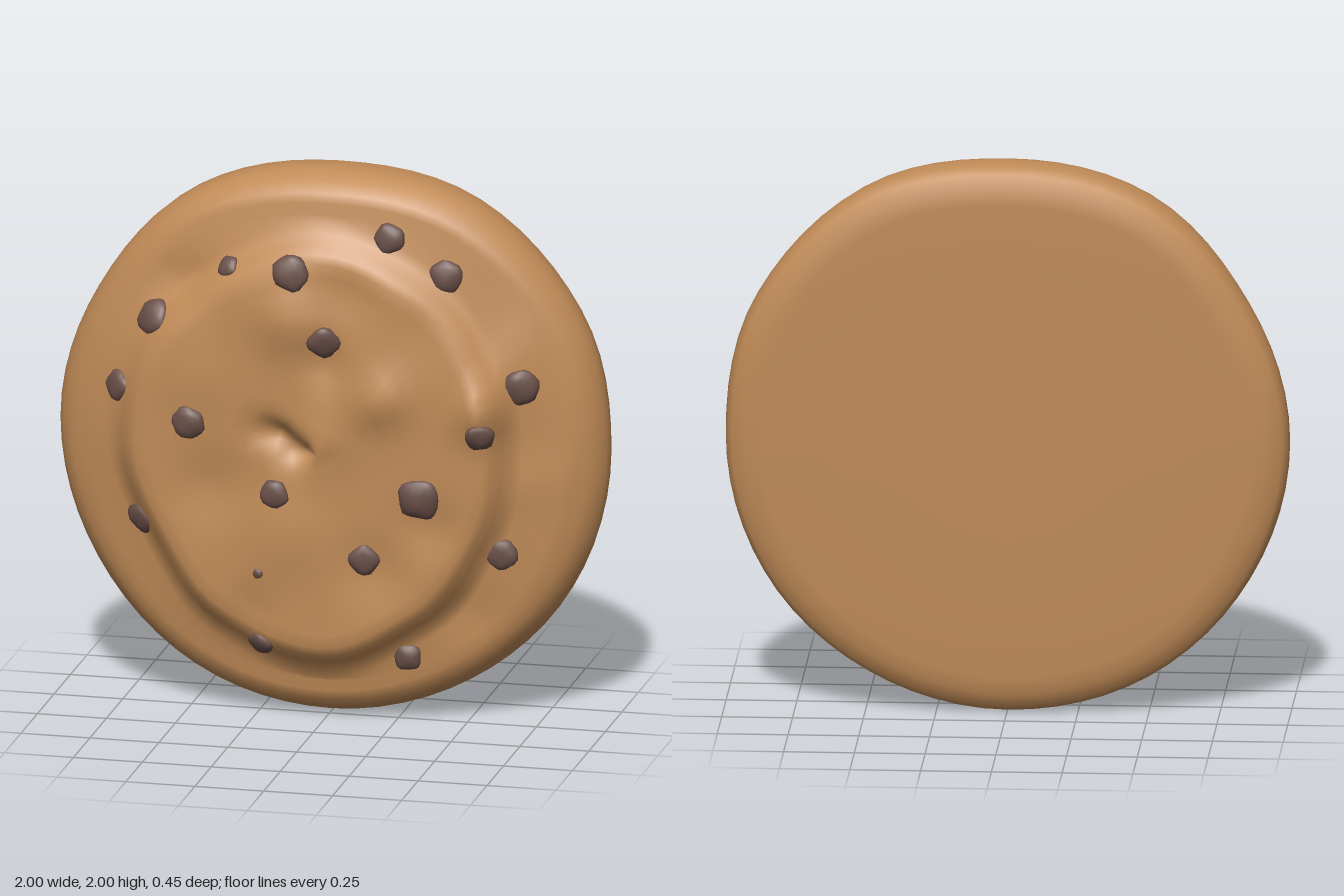
import * as THREE from 'three';
import { mergeVertices } from 'three/addons/utils/BufferGeometryUtils.js';

const CY = 1; // height of the cookie's centre

// Radii every 30 degrees counter-clockwise from +x: raised middle and outer edge
const MOUND = [0.67, 0.71, 0.75, 0.79, 0.75, 0.76, 0.75, 0.72, 0.77, 0.80, 0.73, 0.68];
const EDGE = [0.995, 1.02, 1.03, 1.0, 1.015, 0.99, 1.0, 0.995, 1.0, 0.995, 0.99, 0.995];

// Bumps and dips of the dough: x, y, height, width
const BUMPS = [
  [0.6, 1.2, 0.06, 0.08], [0.23, 1.22, 0.04, 0.09], [-0.1, 1.49, 0.04, 0.12],
  [-0.16, 1.07, -0.06, 0.05], [-0.08, 1.01, -0.06, 0.05], [0.02, 1.35, -0.03, 0.08],
  [0.1, 1.6, -0.025, 0.12], [-0.45, 1.25, 0.01, 0.12], [-0.5, 1.58, -0.03, 0.1],
  [0.4, 1.5, -0.02, 0.14], [0.4, 0.75, -0.02, 0.1], [-0.1, 0.7, 0.02, 0.15],
  [-0.4, 0.85, -0.02, 0.12], [0.2, 0.58, -0.02, 0.12], [-0.25, 0.4, -0.02, 0.08],
  [0.78, 0.9, 0.03, 0.07], [0.5, 0.42, -0.02, 0.1], [0, 1, 0.015, 0.12], [0.7, 1.38, 0.03, 0.08],
];

// Chips: x, y, radius
const CHIPS = [
  [0.24, 1.79, 0.055], [0.44, 1.66, 0.06], [-0.34, 1.66, 0.04], [-0.1, 1.67, 0.066],
  [-0.62, 1.45, 0.066], [0.02, 1.42, 0.06], [0.71, 1.27, 0.067], [-0.75, 1.18, 0.056],
  [0.59, 1.11, 0.054], [-0.47, 1.09, 0.06], [0.36, 0.86, 0.076], [-0.16, 0.85, 0.052],
  [-0.67, 0.7, 0.058], [0.64, 0.65, 0.057], [0.16, 0.62, 0.056], [-0.22, 0.55, 0.018],
  [-0.22, 0.28, 0.048], [0.3, 0.25, 0.05],
];

// Radius at any angle, blended between the entries of a table
function radiusAt(table, angle) {
  const n = table.length;
  const t = ((angle / (Math.PI * 2) + 1) % 1) * n;
  const i = Math.floor(t) % n;
  const f = THREE.MathUtils.smoothstep(t - Math.floor(t), 0, 1);
  return THREE.MathUtils.lerp(table[i], table[(i + 1) % n], f);
}

// Height of the front surface; the rim is thicker at top and bottom
function frontZ(x, y) {
  const angle = Math.atan2(y - CY, x), s = Math.sin(angle);
  const r = Math.hypot(x, y - CY);
  const m = r / radiusAt(MOUND, angle);
  const drop = (0.06 - 0.04 * s * s) * THREE.MathUtils.smoothstep(r, 0.8, 0.96);
  const rim = 0.055 + 0.025 * s * s + 0.01 * s - drop;
  const rise = (0.115 - 0.02 * s * s) * (1 - THREE.MathUtils.smoothstep(m, 0.88, 1.06));
  const fade = 1 - THREE.MathUtils.smoothstep(r, 0.78, 0.92);
  let z = rim + rise;
  for (const [bx, by, h, w] of BUMPS) {
    z += fade * h * Math.exp(-((x - bx) ** 2 + (y - by) ** 2) / (w * w));
  }
  return z;
}

// One closed skin: front rings, rounded rim, tilted flat back
function doughGeometry() {
  const SEG = 72;
  const inner = [0, 0.07, 0.14, 0.21, 0.28, 0.36, 0.44, 0.52, 0.6, 0.68, 0.76, 0.83, 0.89, 0.93, 0.97, 1.01, 1.06];
  // Radius, z, and how much of the top and bottom thickening applies
  const outer = [[0.97, -0.03, 1], [0.992, -0.07, 0.9], [1, -0.1, 0.6], [0.995, -0.135, 0.2],
    [0.975, -0.162, 0], [0.93, -0.182, 0], [0.87, -0.191, 0], [0.6, -0.194, 0], [0.3, -0.194, 0], [0, -0.194, 0]];
  const rimFront = [0.86, 0.9, 0.935];
  const rings = [
    ...inner.map((k) => (a) => {
      const r = k * radiusAt(MOUND, a);
      return [r, frontZ(r * Math.cos(a), CY + r * Math.sin(a))];
    }),
    ...rimFront.map((k) => (a) => {
      const r = k * radiusAt(EDGE, a);
      return [r, frontZ(r * Math.cos(a), CY + r * Math.sin(a))];
    }),
    ...outer.map(([k, z, lift]) => (a) => {
      const r = k * radiusAt(EDGE, a), s = Math.sin(a);
      const tilt = -0.037 * r * s * Math.min(1, -z / 0.16) * (1 - lift);
      return [r, z + lift * (0.05 * s * s + 0.01 * s) + tilt];
    }),
  ];
  const pos = [], index = [];
  rings.forEach((ring, i) => {
    for (let j = 0; j < SEG; j++) {
      const a = (j / SEG) * Math.PI * 2;
      const [r, z] = ring(a);
      pos.push(r * Math.cos(a), CY + r * Math.sin(a), z);
      if (i === rings.length - 1) continue;
      const k = (j + 1) % SEG;
      const p = i * SEG + j, q = p + SEG, s = i * SEG + k, t = s + SEG;
      if (i < rings.length - 2) index.push(p, q, t);
      else index.push(p, q, s);
      if (i > 0 && i < rings.length - 2) index.push(p, t, s);
    }
  });
  let geo = new THREE.BufferGeometry();
  geo.setAttribute('position', new THREE.Float32BufferAttribute(pos, 3));
  geo.setIndex(index);
  geo = mergeVertices(geo, 1e-5);
  geo.computeVertexNormals();
  return geo;
}

// Lumpy blob, different for each seed
function chipGeometry(seed) {
  let geo = new THREE.IcosahedronGeometry(1, 2);
  geo.deleteAttribute('normal');
  geo.deleteAttribute('uv');
  geo = mergeVertices(geo, 1e-4);
  const p = geo.attributes.position, v = new THREE.Vector3();
  for (let i = 0; i < p.count; i++) {
    v.fromBufferAttribute(p, i);
    v.multiplyScalar(1 + 0.1 * Math.sin(v.x * 4 + seed * 2.1) * Math.cos(v.y * 4 + seed * 1.3));
    p.setXYZ(i, v.x, v.y, v.z);
  }
  geo.computeVertexNormals();
  return geo;
}

export function createModel() {
  const dough = new THREE.MeshStandardMaterial({ color: 0xc28c58 });
  dough.name = 'bakedDough';
  const chocolate = new THREE.MeshStandardMaterial({ color: 0x6a4f48 });
  chocolate.name = 'chocolate';

  const cookie = new THREE.Group();
  cookie.name = 'cookie';

  const body = new THREE.Mesh(doughGeometry(), dough);
  body.name = 'cookieDough';
  cookie.add(body);

  // Chips half sunk into the dough, facing along its slope
  const chips = new THREE.Group();
  chips.name = 'chocolateChips';
  const forward = new THREE.Vector3(0, 0, 1);
  CHIPS.forEach(([x, y, r], i) => {
    const e = 0.03;
    const normal = new THREE.Vector3(
      (frontZ(x - e, y) - frontZ(x + e, y)) / (2 * e),
      (frontZ(x, y - e) - frontZ(x, y + e)) / (2 * e), 1).normalize();
    const chip = new THREE.Mesh(chipGeometry(i), chocolate);
    chip.name = 'chip' + (i + 1);
    chip.position.set(x, y, frontZ(x, y));
    chip.quaternion.setFromUnitVectors(forward, normal);
    chip.scale.set(r, r, r * 0.45);
    chips.add(chip);
  });
  cookie.add(chips);
  return cookie;
}
